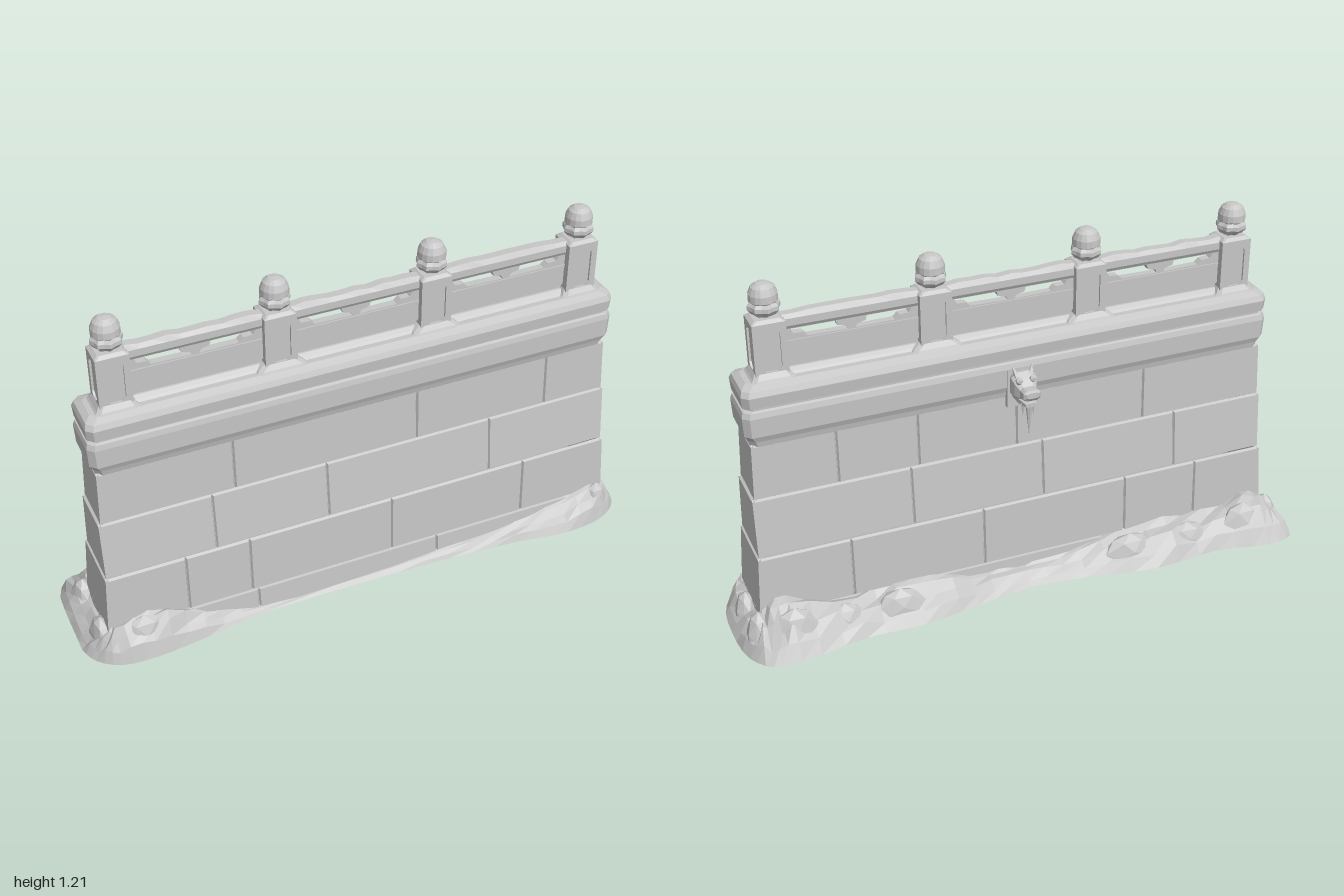
import * as THREE from 'three';

const stone = new THREE.MeshStandardMaterial({ color: 0xc6c6c6, flatShading: true, side: THREE.DoubleSide });
stone.name = 'grey stone';
const ZC = 0.037; // centre line of the balustrade

let seed = 7;
const rnd = () => (seed = (seed * 16807) % 2147483647) / 2147483647 - 0.5;

function add(parent, name, geometry, x = 0, y = 0, z = 0) {
  const mesh = new THREE.Mesh(geometry, stone);
  mesh.name = name;
  mesh.position.set(x, y, z);
  parent.add(mesh);
  return mesh;
}

function fromTriangles(tris) {
  const g = new THREE.BufferGeometry();
  g.setAttribute('position', new THREE.Float32BufferAttribute(tris.flat(), 3));
  g.computeVertexNormals();
  return g;
}

// Skin through closed rings of points, with optional fan caps
function loft(rings, capStart = false, capEnd = false) {
  const t = [], n = rings[0].length;
  for (let r = 0; r < rings.length - 1; r++) {
    for (let i = 0; i < n; i++) {
      const j = (i + 1) % n, a = rings[r][i], b = rings[r][j], c = rings[r + 1][j], d = rings[r + 1][i];
      t.push(a, b, c, a, c, d);
    }
  }
  const first = rings[0], last = rings[rings.length - 1];
  for (let i = 1; i < n - 1; i++) {
    if (capStart) t.push(first[0], first[i + 1], first[i]);
    if (capEnd) t.push(last[0], last[i], last[i + 1]);
  }
  return fromTriangles(t);
}

// Horizontal rectangle with cut corners
function ring(y, hx, zf, zb, c = 0.012) {
  return [[-hx + c, y, zf], [hx - c, y, zf], [hx, y, zf - c], [hx, y, zb + c],
    [hx - c, y, zb], [-hx + c, y, zb], [-hx, y, zb + c], [-hx, y, zf - c]];
}

// Upright rectangle for shapes that run backwards
const slice = (z, y, hx, hy) => [[-hx, y + hy * 0.6, z], [-hx * 0.6, y + hy, z], [hx * 0.6, y + hy, z],
  [hx, y + hy * 0.6, z], [hx, y - hy * 0.6, z], [hx * 0.6, y - hy, z], [-hx * 0.6, y - hy, z], [-hx, y - hy * 0.6, z]];

// Bevelled facing block; P(u, v, depth) maps a wall face to space
function block(P, u0, u1, bevel0, bevel1) {
  const g = 0.005, k = 0.05, a = u0 + (bevel0 ? g : 0), b = u1 - (bevel1 ? g : 0);
  const base = [P(u0, 0, 0.009), P(u1, 0, 0.009), P(u1, 1, 0.009), P(u0, 1, 0.009)];
  const outer = [P(a, k * 0.5, 0), P(b, k * 0.5, 0), P(b, 1 - k * 0.5, 0), P(a, 1 - k * 0.5, 0)];
  return loft([base, outer], false, true);
}

function wall() {
  const group = new THREE.Group();
  group.name = 'wall';
  // Each course: bottom and top as [y, half length, front z, back z], then joints
  const courses = [
    { lo: [0, 0.922, 0.163, -0.088], hi: [0.09, 0.917, 0.157, -0.082], f: [-0.4, 0.26], b: [-0.3, 0.4] },
    { lo: [0.09, 0.919, 0.154, -0.082], hi: [0.305, 0.907, 0.147, -0.074], f: [-0.64, -0.42, 0.09, 0.59], b: [-0.65, -0.38, 0.14, 0.6] },
    { lo: [0.305, 0.903, 0.141, -0.067], hi: [0.51, 0.903, 0.121, -0.049], f: [-0.53, -0.135, 0.46], b: [-0.57, -0.08, 0.38] },
    { lo: [0.51, 0.896, 0.12, -0.047], hi: [0.7, 0.89, 0.113, -0.041], f: [-0.45, 0.19, 0.67], b: [-0.45, 0.01, 0.35, 0.62] },
  ];
  for (const { lo, hi, f, b } of courses) {
    const at = (v) => lo.map((q, i) => q + (hi[i] - q) * v);
    const d = 0.008;
    add(group, 'wallCore', loft([lo, hi].map(([y, hx, zf, zb]) => ring(y, hx - d, zf - d, zb + d))));
    // Front and back faces; u runs along x
    const row = (name, joints, P) => {
      const cuts = [-1, ...joints, 1];
      for (let i = 0; i < cuts.length - 1; i++) {
        add(group, name, block(P, cuts[i], cuts[i + 1], i > 0, i < cuts.length - 2));
      }
    };
    const along = (u, hx) => (Math.abs(u) === 1 ? u * hx : u);
    row('frontBlock', f, (u, v, depth) => {
      const [y, hx, zf] = at(v);
      return [along(u, hx), y, zf - depth];
    });
    row('backBlock', b.map((q) => -q).sort((p, q) => p - q), (u, v, depth) => {
      const [y, hx, , zb] = at(v);
      return [-along(u, hx), y, zb + depth];
    });
    for (const s of [1, -1]) {
      add(group, 'endBlock', block((u, v, depth) => {
        const [y, hx, zf, zb] = at(v);
        return [s * (hx - depth), y, (zf + zb) / 2 - s * u * (zf - zb) / 2];
      }, -1, 1, false, false));
    }
  }
  // Moulded coping
  const profile = [[0.695, 0.888, 0.113, -0.041], [0.715, 0.893, 0.118, -0.045], [0.735, 0.905, 0.126, -0.053],
    [0.8, 0.908, 0.127, -0.055], [0.818, 0.903, 0.123, -0.05], [0.822, 0.893, 0.114, -0.042],
    [0.83, 0.893, 0.114, -0.042], [0.834, 0.903, 0.125, -0.052], [0.872, 0.906, 0.128, -0.056],
    [0.89, 0.9, 0.12, -0.048], [0.902, 0.88, 0.095, -0.022]];
  add(group, 'coping', loft(profile.map(([y, hx, zf, zb]) => ring(y, hx, zf, zb, 0.02)), false, true));
  return group;
}

// Thin rectangular frame with an eight-sided opening
function frameGeometry(w, h) {
  const s = new THREE.Shape([[-w, 0], [w, 0], [w, h], [-w, h]].map(([x, y]) => new THREE.Vector2(x, y)));
  const a = w - 0.021, c = 0.013, b = 0.026, t = h - 0.022;
  s.holes.push(new THREE.Path([[-a, b + c], [-a, t - c], [-a + c, t], [a - c, t], [a, t - c], [a, b + c], [a - c, b], [-a + c, b]]
    .map(([x, y]) => new THREE.Vector2(x, y))));
  return new THREE.ExtrudeGeometry(s, { depth: 0.007, bevelEnabled: false });
}

function post(x) {
  const group = new THREE.Group();
  group.name = 'post';
  group.position.set(x, 0.9, ZC);
  const hx = 0.053, hz = 0.046, h = 0.187;
  add(group, 'postCore', new THREE.BoxGeometry(2 * hx - 0.014, h, 2 * hz - 0.014), 0, h / 2, 0);
  for (let i = 0; i < 4; i++) {
    const long = i % 2 === 0, r = (long ? hz : hx) - 0.007, a = i * Math.PI / 2;
    const frame = add(group, 'postFrame', frameGeometry(long ? hx : hz, h), Math.sin(a) * r, 0, Math.cos(a) * r);
    frame.rotation.y = a;
  }
  const reach = Math.abs(x) > 0.5 ? 0.078 : 0.092;
  add(group, 'postFoot', loft([ring(-0.008, reach, 0.066, -0.066), ring(0.008, reach - 0.015, 0.058, -0.058), ring(0.024, hx, hz, -hz)], false, true));
  add(group, 'postTop', loft([ring(h, hx, hz, -hz, 0.004), ring(h + 0.01, 0.04, 0.036, -0.036, 0.006)], false, true));
  // Carved bud finial with ribbed lower leaves
  const points = [[0.03, 0.19], [0.027, 0.2], [0.04, 0.207], [0.052, 0.222], [0.051, 0.235], [0.043, 0.245],
    [0.046, 0.25], [0.045, 0.272], [0.036, 0.293], [0.02, 0.304], [0, 0.307]].map(([r, y]) => new THREE.Vector2(r, y));
  const bud = new THREE.LatheGeometry(points, 16), p = bud.attributes.position;
  for (let i = 0; i < p.count; i++) {
    const y = p.getY(i), rib = Math.round(Math.atan2(p.getX(i), p.getZ(i)) / (Math.PI / 8));
    const k = y < 0.246 && rib % 2 ? 0.88 : 1;
    p.setXYZ(i, p.getX(i) * k, y, p.getZ(i) * k);
  }
  bud.computeVertexNormals();
  add(group, 'finial', bud);
  return group;
}

// Railing panel with two scalloped openings either side of a cloud bracket
function railing(x) {
  const group = new THREE.Group();
  group.name = 'railing';
  group.position.set(x, 0, ZC);
  const w = 0.218, V = (x, y) => new THREE.Vector2(x, y);
  const s = new THREE.Shape([V(-w, 0.89), V(w, 0.89), V(w, 1.06), V(-w, 1.06)]);
  for (const m of [-1, 1]) {
    s.holes.push(new THREE.Path([[0.05, 1.042], [0.195, 1.042], [0.185, 1.026], [0.155, 1.024], [0.14, 1.01],
      [0.012, 1.008], [0.018, 1.02], [0.045, 1.026]].map(([a, b]) => V(a * m, b))));
  }
  const g = new THREE.ExtrudeGeometry(s, { depth: 0.026, bevelEnabled: false });
  add(group, 'railPanel', g, 0, 0, -0.013);
  // Worn handrail
  const rings = [];
  for (let i = 0; i <= 10; i++) {
    const X = -w + i * w / 5, top = 1.097 + rnd() * 0.008;
    rings.push([[1.046, 0.018], [1.058, 0.025], [1.082, 0.025], [top, 0.014], [top, -0.014], [1.082, -0.025], [1.058, -0.025], [1.046, -0.018]]
      .map(([y, z]) => [X, y, z]).reverse());
  }
  add(group, 'handrail', loft(rings));
  add(group, 'curb', loft([ring(0.89, w, 0.05, -0.05, 0.002), ring(0.909, w, 0.032, -0.032, 0.002), ring(0.918, w, 0.02, -0.02, 0.002)], false, true));
  for (const z of [-1, 1]) add(group, 'lowerRail', new THREE.BoxGeometry(2 * w, 0.01, 0.008), 0, 1.0, z * 0.014);
  return group;
}

// Beast-head water spout on the back face
function spout() {
  const group = new THREE.Group();
  group.name = 'waterSpout';
  add(group, 'spoutPlate', new THREE.BoxGeometry(0.095, 0.135, 0.022), 0, 0.73, -0.045);
  add(group, 'head', loft([slice(-0.045, 0.745, 0.036, 0.045), slice(-0.075, 0.75, 0.042, 0.046), slice(-0.095, 0.745, 0.038, 0.036),
    slice(-0.115, 0.738, 0.028, 0.022), slice(-0.148, 0.744, 0.03, 0.018), slice(-0.157, 0.748, 0.02, 0.01)], false, true));
  add(group, 'lowerJaw', loft([slice(-0.05, 0.71, 0.03, 0.016), slice(-0.1, 0.706, 0.027, 0.013), slice(-0.142, 0.706, 0.018, 0.007)], false, true));
  for (const s of [-1, 1]) {
    const ear = add(group, 'ear', new THREE.ConeGeometry(0.014, 0.045, 5), s * 0.028, 0.797, -0.073);
    ear.rotation.set(0.3, 0, -s * 0.3);
    add(group, 'brow', new THREE.IcosahedronGeometry(0.014, 0), s * 0.024, 0.778, -0.1);
    const drip = add(group, 'sideDrip', new THREE.ConeGeometry(0.008, 0.05, 5), s * 0.018, 0.68, -0.115);
    drip.rotation.x = Math.PI;
  }
  add(group, 'drip', new THREE.ConeGeometry(0.013, 0.125, 6), 0, 0.648, -0.124).rotation.x = Math.PI;
  return group;
}

function rubble() {
  const group = new THREE.Group();
  group.name = 'rubbleBase';
  // Ground outline as [x, z, height against the wall]
  const outline = [[-1, 0.1, 0.08], [-0.97, 0.17, 0.1], [-0.9, 0.22, 0.12], [-0.78, 0.23, 0.14], [-0.6, 0.21, 0.07], [-0.4, 0.182, 0.02],
    [0, 0.18, 0.015], [0.3, 0.19, 0.03], [0.55, 0.21, 0.05], [0.75, 0.237, 0.08], [0.9, 0.215, 0.12], [0.98, 0.15, 0.1], [1, 0, 0.08],
    [0.98, -0.16, 0.1], [0.92, -0.23, 0.13], [0.83, -0.238, 0.14], [0.6, -0.2, 0.09], [0.4, -0.205, 0.1], [0.2, -0.175, 0.07], [0, -0.15, 0.06],
    [-0.2, -0.17, 0.07], [-0.45, -0.215, 0.11], [-0.7, -0.2, 0.1], [-0.88, -0.237, 0.14], [-0.98, -0.215, 0.11], [-1, -0.05, 0.08]];
  const clamp = THREE.MathUtils.clamp;
  const curve = (f) => new THREE.CatmullRomCurve3(outline.map(f), true);
  const outer = curve(([x, z]) => new THREE.Vector3(x, 0, z));
  const inner = curve(([x, z, h]) => new THREE.Vector3(clamp(x, -0.91, 0.91), h, clamp(z, -0.076, 0.15)));
  const N = 78, rings = [];
  for (const f of [0, 0.2, 0.5, 0.78, 1]) {
    const pts = [];
    for (let i = 0; i < N; i++) {
      const a = outer.getPoint(i / N), b = inner.getPoint(i / N), p = a.clone().lerp(b, f);
      p.y = f ? Math.max(0.004, b.y * (Math.sin(f * Math.PI / 2) * 0.85 + 0.12 + rnd() * 0.3)) : 0;
      pts.push([clamp(p.x, -1, 1), p.y, p.z]);
    }
    rings.push(pts);
  }
  add(group, 'mound', loft(rings));
  // Boulders as [x, z, radius x, height, radius z]
  const boulders = [[-0.8, 0.165, 0.1, 0.135, 0.04], [-0.93, 0.1, 0.04, 0.12, 0.07], [0.89, 0.165, 0.055, 0.125, 0.035],
    [0.935, 0.05, 0.04, 0.11, 0.06], [0.93, -0.1, 0.045, 0.13, 0.06], [0.82, -0.14, 0.09, 0.14, 0.055], [0.65, -0.125, 0.09, 0.1, 0.045],
    [0.46, -0.13, 0.1, 0.11, 0.05], [-0.38, -0.13, 0.11, 0.11, 0.05], [-0.6, -0.13, 0.1, 0.1, 0.05], [-0.82, -0.14, 0.1, 0.135, 0.055],
    [-0.93, -0.1, 0.045, 0.12, 0.06]];
  for (const [x, z, rx, h, rz] of boulders) {
    const g = new THREE.IcosahedronGeometry(1, 1), p = g.attributes.position, ph = x * 9;
    for (let i = 0; i < p.count; i++) {
      const [a, b, c] = [p.getX(i), p.getY(i), p.getZ(i)];
      const k = 1 + 0.12 * Math.sin(a * 3 + ph) * Math.cos(c * 3 - ph);
      p.setXYZ(i, a * rx * k, Math.max(0.002, b * h), c * rz * k);
    }
    g.computeVertexNormals();
    add(group, 'boulder', g, x, 0, z);
  }
  return group;
}

export function createModel() {
  const model = new THREE.Group();
  model.name = 'stoneWall';
  model.add(wall(), spout(), rubble());
  for (const x of [-0.795, -0.265, 0.265, 0.795]) model.add(post(x));
  for (const x of [-0.53, 0, 0.53]) model.add(railing(x));
  return model;
}
